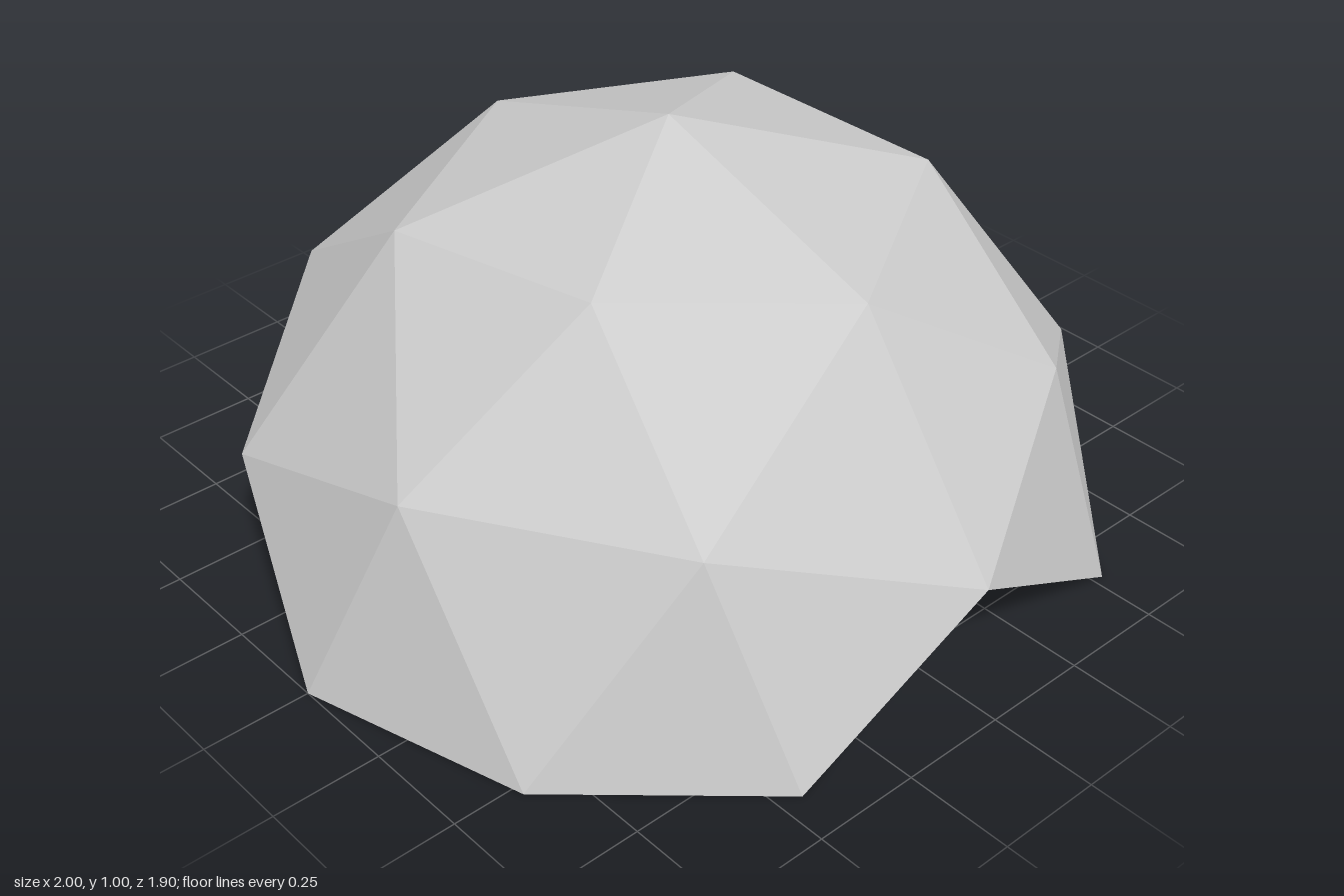
import * as THREE from 'three';

const grey = new THREE.MeshStandardMaterial({ color: 0xcccccc, side: THREE.DoubleSide });
grey.name = 'pale grey';

// Upper half of a subdivided icosahedron: keep only facets lying wholly above the ground
function domeGeometry() {
  const source = new THREE.IcosahedronGeometry(1, 1).getAttribute('position');
  const kept = [];
  for (let i = 0; i < source.count; i += 3) {
    const corners = [0, 1, 2].map((k) => new THREE.Vector3().fromBufferAttribute(source, i + k));
    if (corners.every((c) => c.y > -1e-4)) corners.forEach((c) => kept.push(c.x, c.y, c.z));
  }
  const geometry = new THREE.BufferGeometry();
  geometry.setAttribute('position', new THREE.Float32BufferAttribute(kept, 3));
  geometry.rotateY(Math.atan((Math.sqrt(5) - 1) / 2)); // sets one notch square to the front
  geometry.computeVertexNormals();
  return geometry;
}

// Extrude a flat shape between two z planes
function slab(shape, zBack, zFront) {
  const geometry = new THREE.ExtrudeGeometry(shape, {
    depth: zFront - zBack, bevelEnabled: false, curveSegments: 8,
  });
  return geometry.translate(0, 0, zBack);
}

function addPart(group, name, geometry) {
  const mesh = new THREE.Mesh(geometry, grey);
  mesh.name = name;
  group.add(mesh);
}

export function createModel() {
  const model = new THREE.Group();
  model.name = 'geodesicDome';
  addPart(model, 'domeShell', domeGeometry());

  // Small wedge-shaped hut inside the dome
  const hut = new THREE.Group();
  hut.name = 'hut';
  const wedge = new THREE.Shape();
  wedge.moveTo(-0.14, 0.025);
  wedge.lineTo(0.135, 0.025);
  wedge.lineTo(0.135, 0.135);
  wedge.closePath();
  addPart(hut, 'hutWedge', slab(wedge, -0.02, 0.025));

  // Arched door standing slightly proud of both faces
  const door = new THREE.Shape();
  door.moveTo(0.067, 0.025);
  door.lineTo(0.115, 0.025);
  door.lineTo(0.115, 0.072);
  door.absarc(0.091, 0.072, 0.024, 0, Math.PI, false);
  door.closePath();
  addPart(hut, 'archedDoor', slab(door, -0.028, 0.031));

  model.add(hut);
  return model;
}
